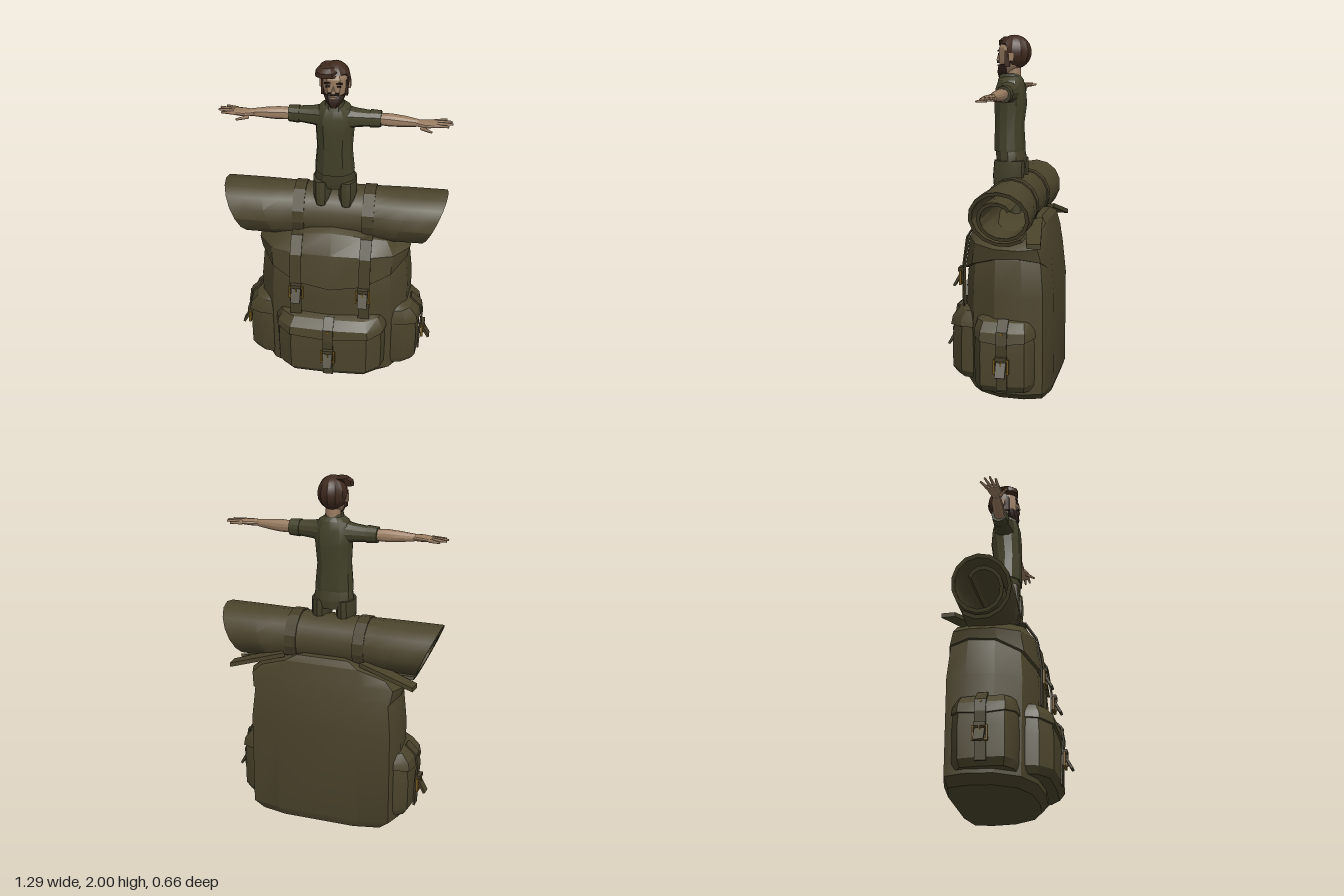
import * as THREE from 'three';
import { toCreasedNormals } from 'three/addons/utils/BufferGeometryUtils.js';

const mat = (name, color) => {
  const m = new THREE.MeshStandardMaterial({ color });
  m.name = name;
  return m;
};

// Full outline from its right half, listed from back to front
const mirrorHalf = (half) => [...half, ...half.filter(p => p[0] > 0).reverse().map(([u, v]) => [-u, v])];

// Skin an outline through rings [y, halfWidth, zBack, zFront, drop at the sides]
function loft(outline, rings) {
  const n = outline.length, pos = [], idx = [];
  for (const [y, w, z0, z1, drop = 0] of rings)
    for (const [u, v] of outline) pos.push(u * w, y - drop * u * u, z0 + (z1 - z0) * v);
  for (let r = 0; r < rings.length - 1; r++)
    for (let i = 0; i < n; i++) {
      const a = r * n + i, b = r * n + (i + 1) % n;
      idx.push(a, a + n, b, b, a + n, b + n);
    }
  [0, rings.length - 1].forEach((r, top) => {
    const [y, , z0, z1] = rings[r], c = pos.length / 3;
    pos.push(0, y, (z0 + z1) / 2);
    for (let i = 0; i < n; i++) {
      const a = r * n + i, b = r * n + (i + 1) % n;
      top ? idx.push(c, b, a) : idx.push(c, a, b);
    }
  });
  const g = new THREE.BufferGeometry();
  g.setAttribute('position', new THREE.Float32BufferAttribute(pos, 3));
  g.setIndex(idx);
  return toCreasedNormals(g, 0.45);
}

// Sheet of given thickness following [z, y] points, extruded along x
function band(pts, thick, width, steps = 1) {
  const off = pts.map(([z, y], i) => {
    const p = pts[Math.max(i - 1, 0)], q = pts[Math.min(i + 1, pts.length - 1)];
    const dz = q[0] - p[0], dy = q[1] - p[1], l = Math.hypot(dz, dy);
    return [z - dy / l * thick, y + dz / l * thick];
  });
  const shape = new THREE.Shape([...pts, ...off.reverse()].map(([z, y]) => new THREE.Vector2(-z, y)));
  return new THREE.ExtrudeGeometry(shape, { depth: width, steps, bevelEnabled: false })
    .translate(0, 0, -width / 2).rotateY(Math.PI / 2);
}

function bend(g, rule) {
  const p = g.attributes.position, v = new THREE.Vector3();
  for (let i = 0; i < p.count; i++) {
    rule(v.fromBufferAttribute(p, i));
    p.setXYZ(i, v.x, v.y, v.z);
  }
  g.computeVertexNormals();
  return toCreasedNormals(g, 0.45);
}

// Rolled mat: centre, spiral cross-section and the squeeze under the straps
const MAT_Y = 1.057, MAT_Z = -0.092, SQUEEZE = 0.88;
function spiralPoint(i) {
  const a = -2.2 + i * 0.42, r = 1 - 0.011 * i - 0.002 * Math.max(0, i - 14) ** 2;
  return [0.183 * r * Math.cos(a), 0.17 * r * Math.sin(a)];
}

export function createModel() {
  const canvas = mat('olive canvas', 0x4a432b), strapMat = mat('strap webbing', 0x453e28);
  const brass = mat('brass', 0x72581f), shirt = mat('green shirt', 0x424029);
  const trousers = mat('trousers', 0x45402a), skin = mat('skin', 0x997c61);
  const hair = mat('brown hair', 0x3f2a1e), dark = mat('dark beard', 0x2f2019);
  const model = new THREE.Group();
  const add = (parent, name, geo, m, x = 0, y = 0, z = 0) => {
    const mesh = new THREE.Mesh(geo, m);
    mesh.name = name;
    mesh.position.set(x, y, z);
    parent.add(mesh);
    return mesh;
  };
  const group = (parent, name) => {
    const g = new THREE.Group();
    g.name = name;
    parent.add(g);
    return g;
  };
  const box = (w, h, d) => new THREE.BoxGeometry(w, h, d);

  // Backpack body and lid
  const bagLine = mirrorHalf([[0.54, 0], [0.92, 0.07], [1, 0.28], [0.97, 0.58], [0.78, 0.84], [0.45, 0.97], [0, 1]]);
  add(model, 'bagBody', loft(bagLine, [[0.005, 0.39, -0.32, 0.14], [0.05, 0.45, -0.335, 0.175], [0.6, 0.45, -0.335, 0.185],
    [0.8, 0.43, -0.315, 0.165], [0.95, 0.41, -0.288, 0.1, 0.1]]), canvas);
  add(model, 'bagLid', loft(bagLine, [[0.67, 0.442, -0.322, 0.193, -0.14], [0.89, 0.455, -0.3, 0.165, 0.03],
    [1.0, 0.4, -0.28, 0.095, 0.1], [1.02, 0.28, -0.25, 0.05, 0.06]]), canvas);
  for (const s of [-1, 1]) {
    const wing = new THREE.Shape([[0.22, -0.265], [0.54, -0.305], [0.545, -0.23], [0.28, -0.18]]
      .map(([x, z]) => new THREE.Vector2(s * x, z)));
    const g = new THREE.ExtrudeGeometry(wing, { depth: 0.025, bevelEnabled: false }).rotateX(Math.PI / 2);
    add(model, 'lidWing', bend(g, v => { v.y += 1.01 - 0.28 * (Math.abs(v.x) - 0.22); }), canvas);
  }

  // Buckle with a strap end hanging outward
  const buckle = (parent, x, y, z) => {
    const b = group(parent, 'buckle');
    b.position.set(x, y, z);
    for (const s of [-1, 1]) {
      add(b, 'buckleSide', box(0.01, 0.08, 0.014), brass, s * 0.038, 0, 0.012);
      add(b, 'buckleBar', box(0.086, 0.01, 0.014), brass, 0, s * 0.036, 0.012);
    }
    add(b, 'bucklePin', box(0.008, 0.07, 0.008), brass, 0, 0, 0.024);
    add(b, 'strapEnd', box(0.055, 0.085, 0.014), strapMat, 0, -0.015, 0.032).rotation.x = -0.5;
    add(b, 'strapLoop', box(0.062, 0.022, 0.03), strapMat, 0, 0.045, 0.012);
  };

  // Pockets, each with flap, strap and buckle
  const pocketLine = mirrorHalf([[1, -0.3], [1, 0.1], [0.95, 0.5], [0.7, 0.93], [0, 1]]);
  const pocket = (name, w) => {
    const p = group(model, name);
    add(p, 'pocketBody', loft(pocketLine, [[0.08, w * 0.9, 0, 0.13], [0.12, w * 0.97, 0, 0.158], [0.3, w * 0.98, 0, 0.16],
      [0.42, w * 0.95, 0, 0.145], [0.47, w * 0.85, 0, 0.1]]), canvas);
    add(p, 'pocketFlap', loft(pocketLine, [[0.355, w, 0, 0.168, -0.03], [0.42, w * 0.985, 0, 0.158],
      [0.47, w * 0.9, 0, 0.115], [0.495, w * 0.72, 0, 0.05]]), canvas);
    add(p, 'pocketStrap', band([[0.1, 0.482], [0.16, 0.425], [0.17, 0.36], [0.16, 0.24], [0.155, 0.1]], 0.01, 0.06), strapMat);
    add(p, 'stud', new THREE.CylinderGeometry(0.009, 0.009, 0.01, 8).rotateX(Math.PI / 2), brass, 0, 0.42, 0.17);
    buckle(p, 0, 0.24, 0.168);
    return p;
  };
  pocket('frontPocket', 0.33).position.z = 0.102;
  for (const s of [-1, 1]) {
    const p = pocket('sidePocket', 0.18);
    p.position.set(s * 0.355, -0.008, -0.09);
    p.rotation.y = s * Math.PI / 2;
  }

  // Spiral sheet, cinched at the straps, with slanted ends
  const spiral = Array.from({ length: 27 }, (_, i) => spiralPoint(i));
  add(model, 'rolledMat', bend(band(spiral, 0.02, 2, 12), v => {
    const c = THREE.MathUtils.clamp(SQUEEZE + (Math.abs(v.x) - 0.33) * 0.4, SQUEEZE, 1);
    v.x *= 0.575 + 0.45 * v.y;
    v.y = MAT_Y + v.y;
    v.z = MAT_Z + v.z * c;
  }), canvas);

  // Long straps over the mat and down the lid
  const path = spiral.slice(4, 15).reverse().map(([z, y]) => [MAT_Z + z * SQUEEZE, MAT_Y + y]);
  path.push([0.1, 0.975], [0.16, 0.88], [0.185, 0.7], [0.18, 0.48]);
  for (const s of [-1, 1]) {
    add(model, 'matStrap', band(path, 0.008, 0.066), strapMat, s * 0.2);
    buckle(model, s * 0.195, 0.645, 0.19);
  }

  // Figure: torso, trousers, legs
  const man = group(model, 'man');
  const round = mirrorHalf([[0, 0], [0.5, 0.06], [0.88, 0.25], [1, 0.5], [0.88, 0.75], [0.5, 0.96], [0, 1]]);
  add(man, 'shirtBody', loft(round, [[1.35, 0.112, -0.128, 0.045], [1.37, 0.112, -0.13, 0.046], [1.5, 0.1, -0.122, 0.045],
    [1.62, 0.108, -0.138, 0.046], [1.7, 0.115, -0.13, 0.04], [1.75, 0.085, -0.118, 0.025], [1.775, 0.045, -0.1, 0.005]]), shirt);
  add(man, 'collar', loft(round, [[1.745, 0.058, -0.11, 0.03], [1.785, 0.05, -0.1, 0.015]]), shirt);
  add(man, 'hips', loft(round, [[1.25, 0.11, -0.13, 0.02], [1.3, 0.118, -0.138, 0.035], [1.37, 0.105, -0.125, 0.038]]), trousers);
  for (const s of [-1, 1])
    add(man, 'leg', loft(round, [[0.99, 0.03, -0.12, -0.06], [1.1, 0.036, -0.11, -0.01], [1.15, 0.042, -0.115, 0.04],
      [1.21, 0.053, -0.135, 0.045], [1.3, 0.052, -0.136, 0.037]]), trousers, s * 0.072);

  // Arms along x, mirrored
  for (const s of [-1, 1]) {
    const arm = group(man, s > 0 ? 'leftArm' : 'rightArm');
    arm.position.y = 1.683;
    arm.scale.x = s;
    const limb = (name, m, rings) => add(arm, name, loft(round, rings).rotateZ(-Math.PI / 2), m);
    limb('sleeve', shirt, [[0.06, 0.066, -0.11, 0.02], [0.12, 0.052, -0.1, 0.008], [0.2, 0.044, -0.09, -0.005]]);
    limb('cuff', shirt, [[0.195, 0.05, -0.096, 0.002], [0.255, 0.046, -0.092, -0.005]]);
    limb('forearm', skin, [[0.22, 0.032, -0.08, -0.015], [0.31, 0.036, -0.075, -0.008], [0.38, 0.03, -0.068, -0.006],
      [0.46, 0.02, -0.05, -0.008]]);
    limb('palm', skin, [[0.445, 0.018, -0.05, -0.006], [0.5, 0.018, -0.064, 0.014], [0.56, 0.012, -0.074, 0.008]]);
    // Fingers and thumb: [z at root, z at tip, x at root, x at tip, y at middle]
    [[-0.063, -0.088, 0.545, 0.61, 0], [-0.042, -0.06, 0.545, 0.64, 0.003], [-0.021, -0.03, 0.545, 0.645, 0.004],
      [-0.002, 0, 0.545, 0.625, 0.002], [0, 0.042, 0.475, 0.535, -0.015]].forEach(([z0, z1, x0, x1, y], i) => {
      const f = new THREE.CylinderGeometry(0.006, 0.011, Math.hypot(x1 - x0, z1 - z0), 6).rotateZ(-Math.PI / 2);
      add(arm, i === 4 ? 'thumb' : 'finger', f, skin, (x0 + x1) / 2, y, (z0 + z1) / 2)
        .rotation.y = -Math.atan2(z1 - z0, x1 - x0);
    });
  }

  // Head, face and hair
  const head = group(man, 'head');
  add(head, 'neck', new THREE.CylinderGeometry(0.04, 0.044, 0.12, 10), skin, 0, 1.8, -0.06);
  add(head, 'face', loft(round, [[1.785, 0.03, -0.06, 0.012], [1.82, 0.055, -0.1, 0.02], [1.87, 0.068, -0.13, 0.024],
    [1.93, 0.069, -0.13, 0.022], [1.97, 0.05, -0.11, 0]]), skin);
  const cap = bend(new THREE.SphereGeometry(1, 36, 12), v => {
    const rib = 1 + 0.03 * Math.cos(Math.atan2(v.x, v.z) * 12);
    if (v.z > 0.35 && v.y < 0.45) v.z = 0.25;
    v.set(v.x * 0.081 * rib, 1.905 + v.y * 0.095, -0.066 + v.z * 0.094 * rib);
  });
  add(head, 'hair', cap, hair);
  // Fringe swept upward to one side
  add(head, 'fringe', loft(round, [[1.94, 0.066, -0.06, 0.028], [1.968, 0.062, -0.08, 0.03], [1.988, 0.04, -0.1, 0.005]]), hair)
    .rotation.z = 0.02;
  add(head, 'beard', loft(round, [[1.765, 0.02, -0.015, 0.026], [1.79, 0.042, -0.045, 0.031], [1.82, 0.057, -0.06, 0.028],
    [1.838, 0.064, -0.06, 0.018]]), dark);
  add(head, 'moustache', box(0.06, 0.014, 0.02), dark, 0, 1.85, 0.02);
  add(head, 'mouth', box(0.034, 0.008, 0.006), skin, 0, 1.829, 0.027);
  add(head, 'nose', new THREE.ConeGeometry(0.014, 0.045, 4), skin, 0, 1.878, 0.026);
  for (const s of [-1, 1]) {
    add(head, 'eye', box(0.022, 0.009, 0.006), dark, s * 0.03, 1.893, 0.02);
    add(head, 'eyebrow', box(0.034, 0.01, 0.008), dark, s * 0.032, 1.912, 0.02);
    add(head, 'sideburn', box(0.012, 0.09, 0.03), hair, s * 0.066, 1.87, -0.035);
    add(head, 'ear', box(0.014, 0.045, 0.028), skin, s * 0.077, 1.88, -0.06);
  }
  return model;
}
